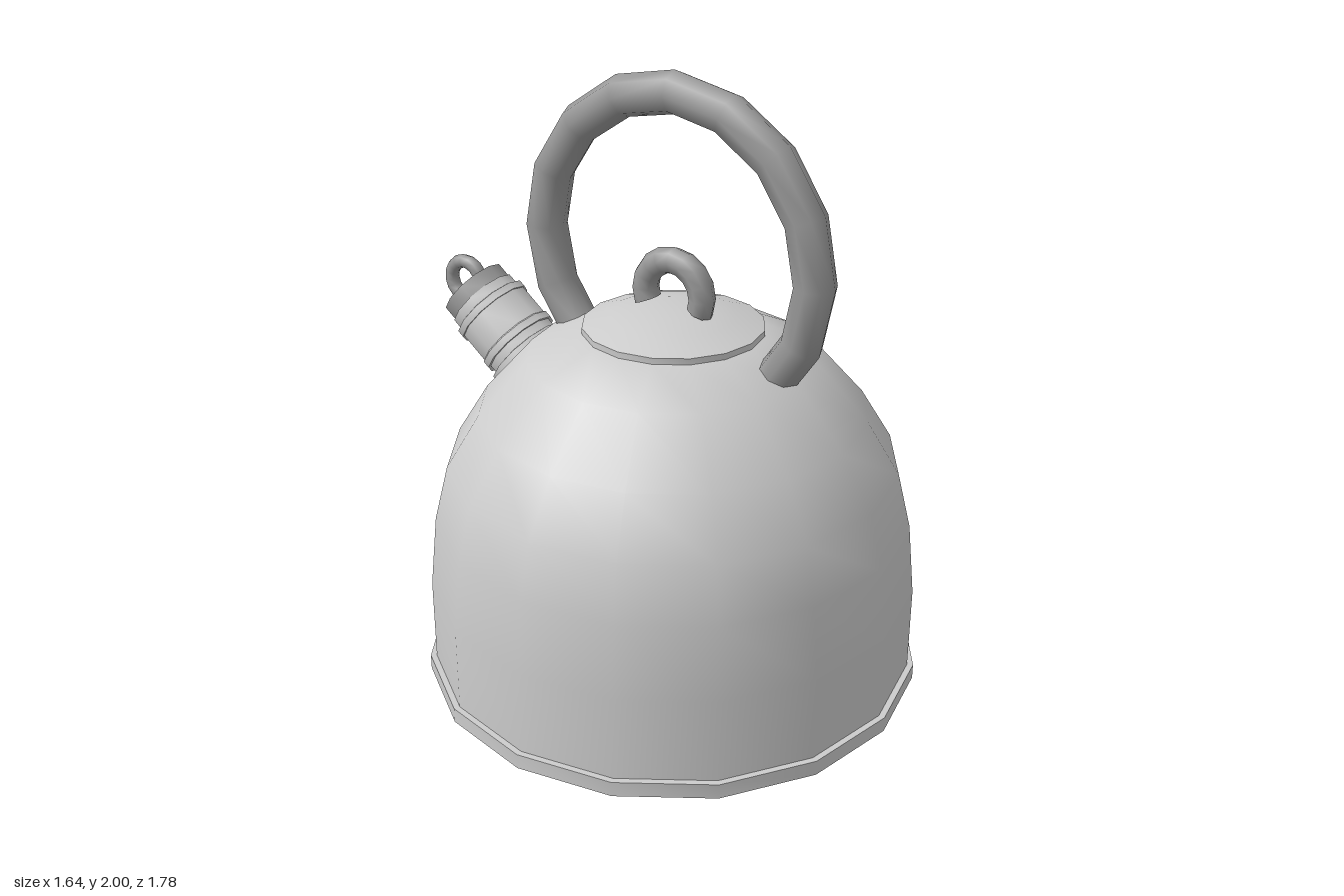
import * as THREE from 'three';
import { toCreasedNormals } from 'three/addons/utils/BufferGeometryUtils.js';

export function createModel() {
  const steel = new THREE.MeshStandardMaterial({ color: 0xcccccc });
  steel.name = 'steel';
  const grip = new THREE.MeshStandardMaterial({ color: 0x999999 });
  grip.name = 'darkGrip';

  const kettle = new THREE.Group();
  kettle.name = 'kettle';
  kettle.position.z = 0.07;

  const add = (parent, name, geometry, material) => {
    const mesh = new THREE.Mesh(geometry, material);
    mesh.name = name;
    parent.add(mesh);
    return mesh;
  };
  // Turned part: profile runs bottom to top, sharp edges stay creased
  const turned = (profile, sides) => toCreasedNormals(
    new THREE.LatheGeometry(profile.map(([r, y]) => new THREE.Vector2(r, y)), sides), 0.62);
  // Ring standing in the y-z plane, open at the bottom
  const ring = (radius, tube, arc) => new THREE.TorusGeometry(radius, tube, 8, Math.round(arc / (Math.PI / 8)), arc)
    .rotateZ((Math.PI - arc) / 2).rotateY(Math.PI / 2);

  // Base rim, domed body and lid
  add(kettle, 'baseRim', turned([[0, 0], [0.82, 0], [0.82, 0.05], [0.79, 0.05]], 16), steel);
  add(kettle, 'body', turned([
    [0.8, 0.05], [0.8, 0.33], [0.775, 0.57], [0.73, 0.75],
    [0.625, 0.92], [0.465, 1.1], [0.29, 1.18], [0, 1.18],
  ], 16), steel);
  add(kettle, 'lid', turned([[0.29, 1.175], [0.29, 1.2], [0.2, 1.23], [0.1, 1.25], [0, 1.25]], 16), steel);

  // Lid knob and carrying handle
  add(kettle, 'lidKnob', ring(0.107, 0.043, Math.PI * 1.25), grip).position.y = 1.3;
  add(kettle, 'handle', ring(0.503, 0.067, Math.PI * 1.5), grip).position.y = 1.43;

  // Spout group: local y runs along the spout, out and up to the back
  const spout = new THREE.Group();
  spout.name = 'spout';
  spout.position.set(0, 0.94, -0.595);
  spout.rotation.x = -THREE.MathUtils.degToRad(52);
  kettle.add(spout);
  add(spout, 'spoutCollar', turned([[0, -0.1], [0.147, -0.1], [0.147, 0.015], [0.13, 0.02]], 12), steel);
  add(spout, 'spoutBarrel', turned([
    [0.13, 0.01], [0.13, 0.05], [0.14, 0.05], [0.14, 0.075], [0.134, 0.08], [0.134, 0.19],
    [0.14, 0.19], [0.14, 0.215], [0.126, 0.22], [0.126, 0.255], [0.1, 0.255],
  ], 12), steel);
  add(spout, 'spoutCap', turned([[0.121, 0.25], [0.121, 0.308], [0, 0.308]], 12), grip);
  add(spout, 'capLoop', ring(0.066, 0.024, Math.PI * 1.5), grip).position.y = 0.348;

  const model = new THREE.Group();
  model.name = 'model';
  model.add(kettle);
  return model;
}
